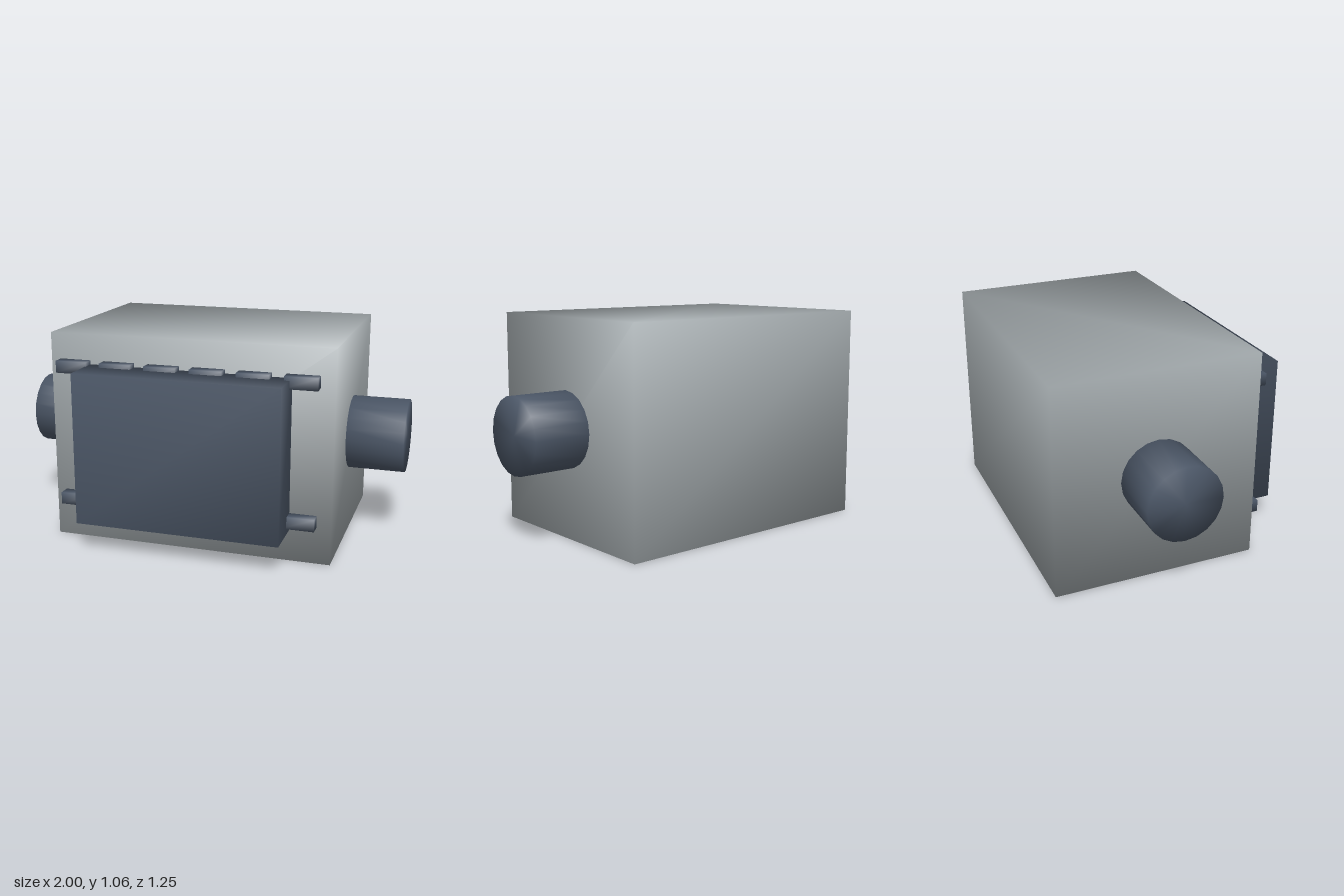
import * as THREE from 'three';
import { mergeVertices } from 'three/addons/utils/BufferGeometryUtils.js';

// Weld corners so shading runs smoothly across every edge.
function weld(geometry) {
  geometry.deleteAttribute('normal');
  geometry.deleteAttribute('uv');
  const welded = mergeVertices(geometry, 1e-4);
  welded.computeVertexNormals();
  return welded;
}

export function createModel() {
  const model = new THREE.Group();
  model.name = 'housing';

  const paleGrey = new THREE.MeshStandardMaterial({ color: 0xa2a9ac });
  paleGrey.name = 'paleGrey';
  const slate = new THREE.MeshStandardMaterial({ color: 0x4a5565 });
  slate.name = 'slate';

  function add(name, geometry, material, x, y, z) {
    const mesh = new THREE.Mesh(weld(geometry), material);
    mesh.name = name;
    mesh.position.set(x, y, z);
    model.add(mesh);
  }

  // Main block
  add('body', new THREE.BoxGeometry(1.43, 1.06, 1.03), paleGrey, 0, 0.53, -0.11);

  // Raised plate on the front
  add('frontPlate', new THREE.BoxGeometry(1.02, 0.755, 0.22), slate, 0, 0.5325, 0.515);

  // Round stub on each side
  for (const side of [-1, 1]) {
    const stub = new THREE.CylinderGeometry(0.186, 0.186, 0.29, 20);
    stub.rotateZ(-side * Math.PI / 2);
    add(side > 0 ? 'leftStub' : 'rightStub', stub, slate, side * 0.855, 0.532, -0.11);
  }

  // Rows of small lugs above and below the plate
  for (const [row, y] of [['upper', 0.9], ['lower', 0.215]]) {
    for (let i = 0; i < 6; i++) {
      add(`${row}Lug${i + 1}`, new THREE.BoxGeometry(0.16, 0.06, 0.065), slate,
        -0.586 + i * 0.23, y, 0.433);
    }
  }

  return model;
}
